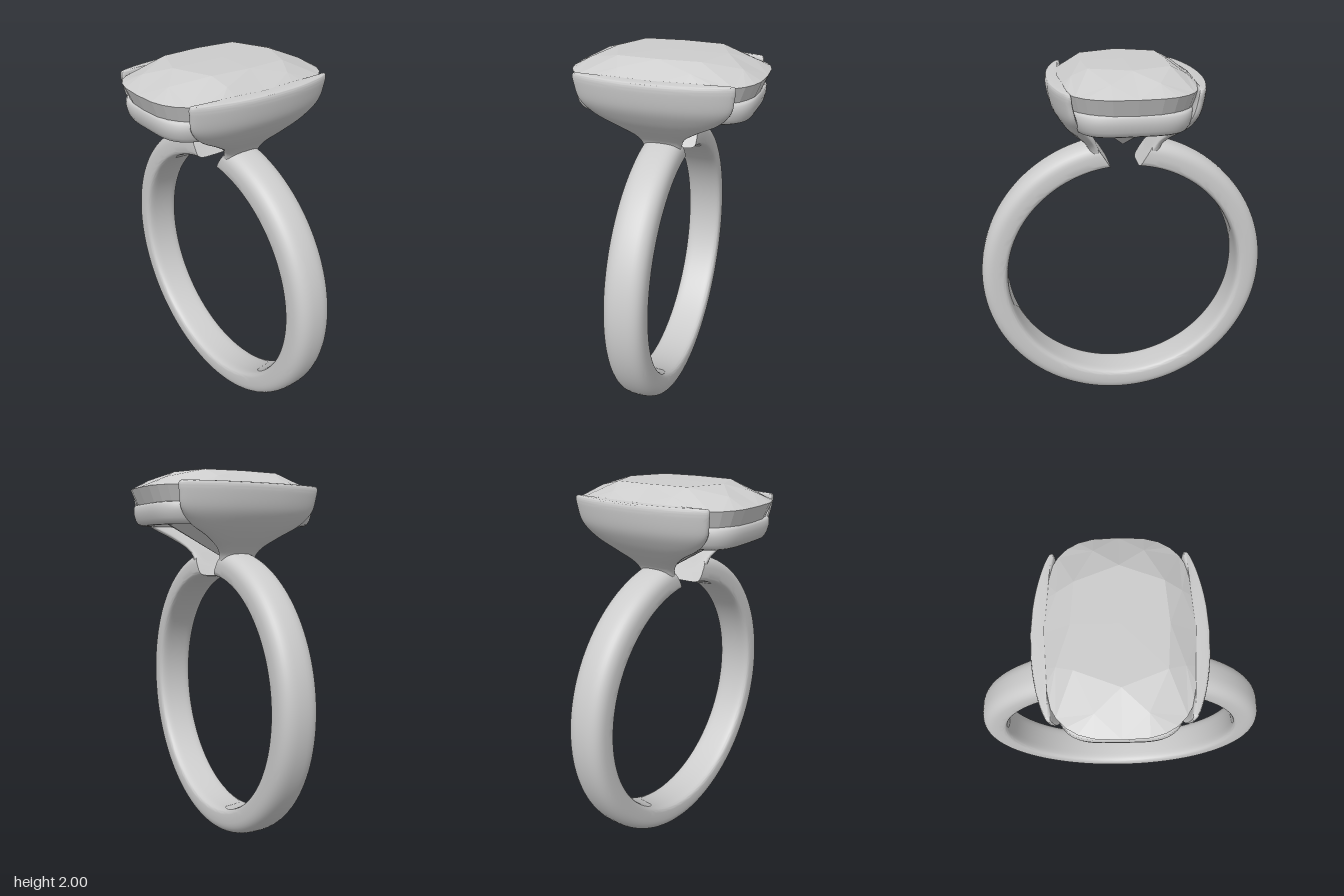
import * as THREE from 'three';
import { toCreasedNormals } from 'three/addons/utils/BufferGeometryUtils.js';

const V = (x, y, z) => new THREE.Vector3(x, y, z);
const spow = (v, p) => Math.sign(v) * Math.pow(Math.abs(v), p);

// Skin a list of closed rings; either cap the ends or join last ring to first.
function loft(rings, closed, crease) {
  const n = rings[0].length, m = rings.length;
  const pts = rings.flat(), tris = [];
  for (let i = 0; i < (closed ? m : m - 1); i++) {
    for (let j = 0; j < n; j++) {
      const a = i * n + j, b = i * n + (j + 1) % n;
      const c = ((i + 1) % m) * n + j, d = ((i + 1) % m) * n + (j + 1) % n;
      tris.push([a, b, d], [a, d, c]);
    }
  }
  if (!closed) {
    for (const [ring, base, flip] of [[rings[0], 0, true], [rings[m - 1], (m - 1) * n, false]]) {
      const mid = ring.reduce((s, p) => s.add(p), V(0, 0, 0)).divideScalar(n);
      const k = pts.push(mid) - 1;
      for (let j = 0; j < n; j++) {
        const a = base + j, b = base + (j + 1) % n;
        tris.push(flip ? [b, a, k] : [a, b, k]);
      }
    }
  }
  // Turn the skin outward when its signed volume is negative
  let volume = 0;
  for (const [a, b, c] of tris) volume += pts[a].dot(pts[b].clone().cross(pts[c]));
  if (volume < 0) tris.forEach(t => t.reverse());
  const g = new THREE.BufferGeometry().setFromPoints(pts);
  g.setIndex(tris.flat());
  return toCreasedNormals(g, crease);
}

// Open hoop: domed outside, flatter inside, with slanted ends at the top
function bandGeometry() {
  const rings = [], steps = 128, sides = 40;
  for (let i = 0; i <= steps; i++) {
    const ring = [];
    for (let j = 0; j < sides; j++) {
      const a = j / sides * Math.PI * 2, c = Math.cos(a), s = Math.sin(a);
      const p = c > 0 ? 0.72 : 0.42;
      const r = 0.71 + (c > 0 ? 0.09 : 0.055) * spow(c, p);
      const z = 0.105 * spow(s, p);
      const start = 0.115 + (r - 0.655) / 0.145 * 0.09;
      const t = start + (Math.PI * 2 - 2 * start) * i / steps;
      ring.push(V(r * Math.sin(t), 0.8 + r * Math.cos(t), z));
    }
    rings.push(ring);
  }
  return loft(rings, false, 0.8);
}

// Flaring arm: each row is inner x, inner y, outer x, outer y, half depth
function armGeometry(side) {
  const rows = [
    [0.085, 1.465, 0.18, 1.49, 0.095], [0.125, 1.53, 0.20, 1.565, 0.102],
    [0.16, 1.59, 0.225, 1.60, 0.125], [0.208, 1.66, 0.278, 1.652, 0.205],
    [0.265, 1.73, 0.335, 1.72, 0.325], [0.312, 1.80, 0.375, 1.79, 0.385],
    [0.333, 1.87, 0.392, 1.865, 0.40], [0.34, 1.908, 0.395, 1.905, 0.405],
    [0.346, 1.921, 0.39, 1.921, 0.40], [0.358, 1.925, 0.378, 1.925, 0.385]];
  const inner = new THREE.CatmullRomCurve3(rows.map(r => V(r[0], r[1], r[4])));
  const outer = new THREE.CatmullRomCurve3(rows.map(r => V(r[2], r[3], r[4])));
  const rings = [], steps = 45, sides = 48;
  for (let i = 0; i <= steps; i++) {
    const p = inner.getPoint(i / steps), q = outer.getPoint(i / steps);
    const ring = [];
    for (let j = 0; j < sides; j++) {
      const a = j / sides * Math.PI * 2;
      const w = 0.5 + 0.5 * spow(Math.cos(a), 0.6);
      const z = p.z * spow(Math.sin(a), 0.6);
      const bow = 0.062 * (z / 0.4) ** 2;
      ring.push(V(side * (p.x + (q.x - p.x) * w - bow), p.y + (q.y - p.y) * w, z));
    }
    rings.push(ring);
  }
  return loft(rings, false, 0.8);
}

// Rounded rectangular rail beneath the stone
function railGeometry() {
  // inset from the outer edge, height
  const section = [[0.07, 1.73], [0.06, 1.72], [0.035, 1.72], [0.02, 1.728], [0.008, 1.75],
    [0, 1.785], [0, 1.815], [0.006, 1.826], [0.018, 1.83], [0.06, 1.83], [0.07, 1.82]];
  const rings = [], steps = 96;
  for (let i = 0; i < steps; i++) {
    const a = i / steps * Math.PI * 2;
    const c = spow(Math.cos(a), 2 / 4.2), s = spow(Math.sin(a), 2 / 4.2);
    rings.push(section.map(([d, y]) => V((0.305 - d) * c, y, (0.463 - d) * s)));
  }
  return loft(rings, true, 0.9);
}

// Faceted cushion stone: table, star, kite and girdle facets, then the pavilion
function stoneGeometry() {
  const pts = [], tri = (...t) => pts.push(...t);
  const N = 32, girdle = [], lower = [], table = [], mid = [];
  for (let k = 0; k < N; k++) {
    const a = k / N * Math.PI * 2;
    const x = 0.35 * spow(Math.cos(a), 2 / 3), z = 0.49 * spow(Math.sin(a), 2 / 3);
    girdle.push(V(x, 1.908, z));
    lower.push(V(x * 0.93, 1.825, z * 0.93));
  }
  for (let i = 0; i < 8; i++) {
    const a = i * Math.PI / 4, c = Math.cos(a), s = Math.sin(a);
    table.push(i % 2 ? V(0.2 * Math.sign(c), 1.996, 0.21 * Math.sign(s))
      : V(0.215 * c, 1.997, 0.29 * s));
    const b = a + Math.PI / 8, sx = Math.sign(Math.cos(b)), sz = Math.sign(Math.sin(b));
    mid.push(Math.abs(Math.cos(b)) > 0.7 ? V(0.277 * sx, 1.958, 0.18 * sz)
      : V(0.115 * sx, 1.957, 0.39 * sz));
  }
  const top = V(0, 2, 0), culet = V(0, 1.55, 0);
  for (let i = 0; i < 8; i++) {
    const T = table[i], U = table[(i + 1) % 8], M = mid[i], L = mid[(i + 7) % 8];
    tri(top, U, T);
    tri(T, U, M);
    tri(T, M, girdle[4 * i]);
    tri(T, girdle[4 * i], L);
    for (let k = 4 * i; k < 4 * i + 4; k++) {
      const n = (k + 1) % N;
      tri(girdle[k], M, girdle[n]);
      tri(girdle[k], girdle[n], lower[n]);
      tri(girdle[k], lower[n], lower[k]);
      tri(lower[k], lower[n], culet);
    }
  }
  const g = new THREE.BufferGeometry().setFromPoints(pts);
  g.computeVertexNormals();
  return g;
}

export function createModel() {
  const silver = new THREE.MeshStandardMaterial({ color: 0xcccccc });
  silver.name = 'silver grey';
  const group = new THREE.Group();
  group.name = 'ring';
  const add = (name, geometry) => {
    const mesh = new THREE.Mesh(geometry, silver);
    mesh.name = name;
    group.add(mesh);
  };
  add('band', bandGeometry());
  add('leftArm', armGeometry(1));
  add('rightArm', armGeometry(-1));
  add('settingRail', railGeometry());
  add('stone', stoneGeometry());
  return group;
}
